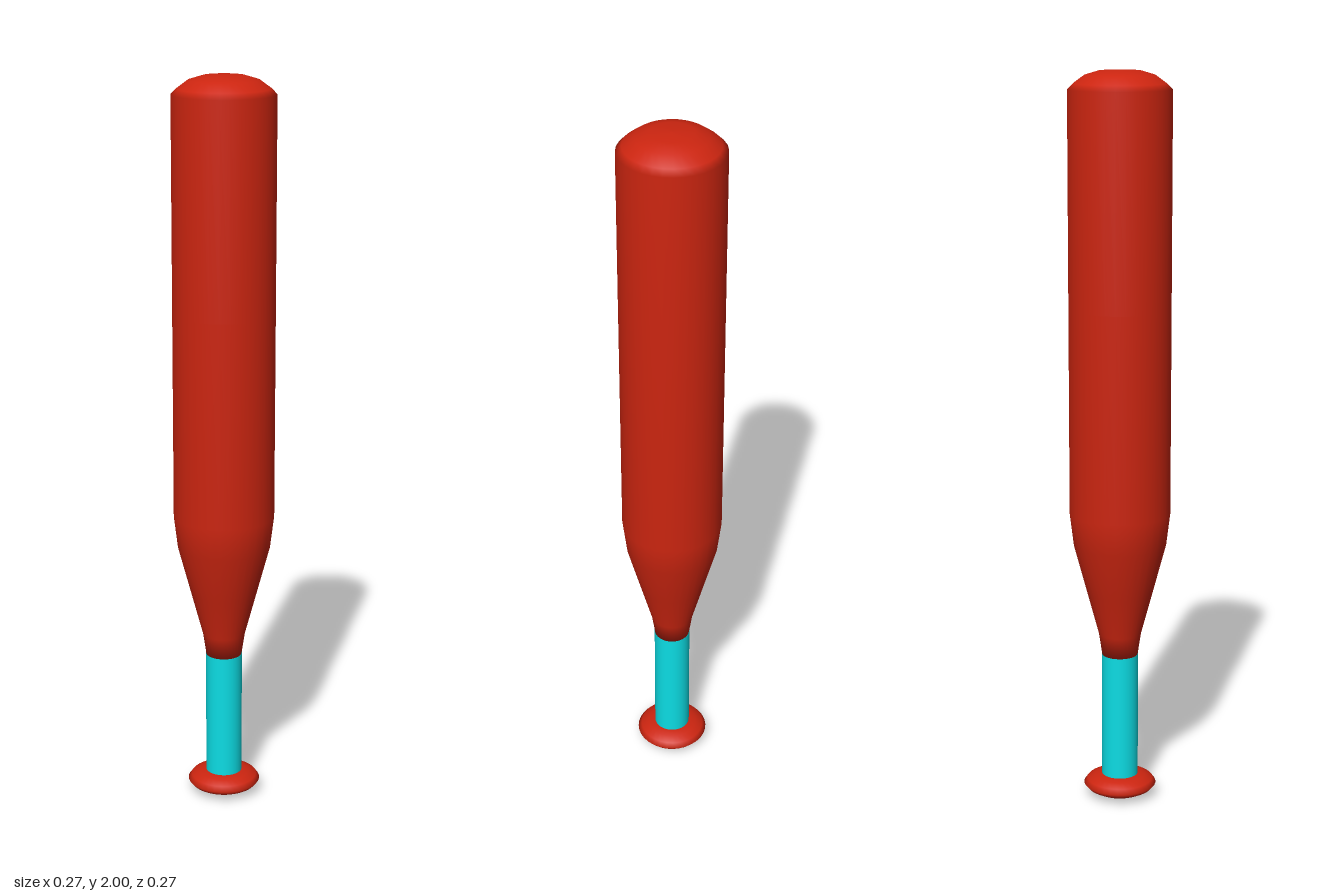
import * as THREE from 'three';

const SEGMENTS = 32;

// Turns a [radius, height] profile, listed bottom to top, into a smooth round part
function turned(name, profile, material) {
  const points = profile.map(([r, y]) => new THREE.Vector2(r, y));
  const mesh = new THREE.Mesh(new THREE.LatheGeometry(points, SEGMENTS), material);
  mesh.name = name;
  return mesh;
}

export function createModel() {
  const red = new THREE.MeshStandardMaterial({ color: 0xcc2510 });
  red.name = 'red paint';
  const cyan = new THREE.MeshStandardMaterial({ color: 0x0cdde4, side: THREE.DoubleSide });
  cyan.name = 'cyan grip';

  const bat = new THREE.Group();
  bat.name = 'bat';

  // Flattened knob at the foot of the handle
  bat.add(turned('knob', [
    [0, 0], [0.03, 0.002], [0.065, 0.011], [0.09, 0.024], [0.1, 0.036],
    [0.09, 0.049], [0.07, 0.059], [0.05, 0.064], [0, 0.066],
  ], red));

  // Straight wrapped handle
  bat.add(turned('grip', [[0.05, 0.06], [0.05, 0.415]], cyan));

  // Taper, long barrel and softly domed tip
  bat.add(turned('barrel', [
    [0, 0.415], [0.049, 0.415], [0.058, 0.475], [0.09, 0.595], [0.126, 0.73],
    [0.137, 0.82], [0.137, 1.38], [0.137, 1.95], [0.122, 1.965],
    [0.092, 1.987], [0.055, 1.998], [0, 2],
  ], red));

  return bat;
}
